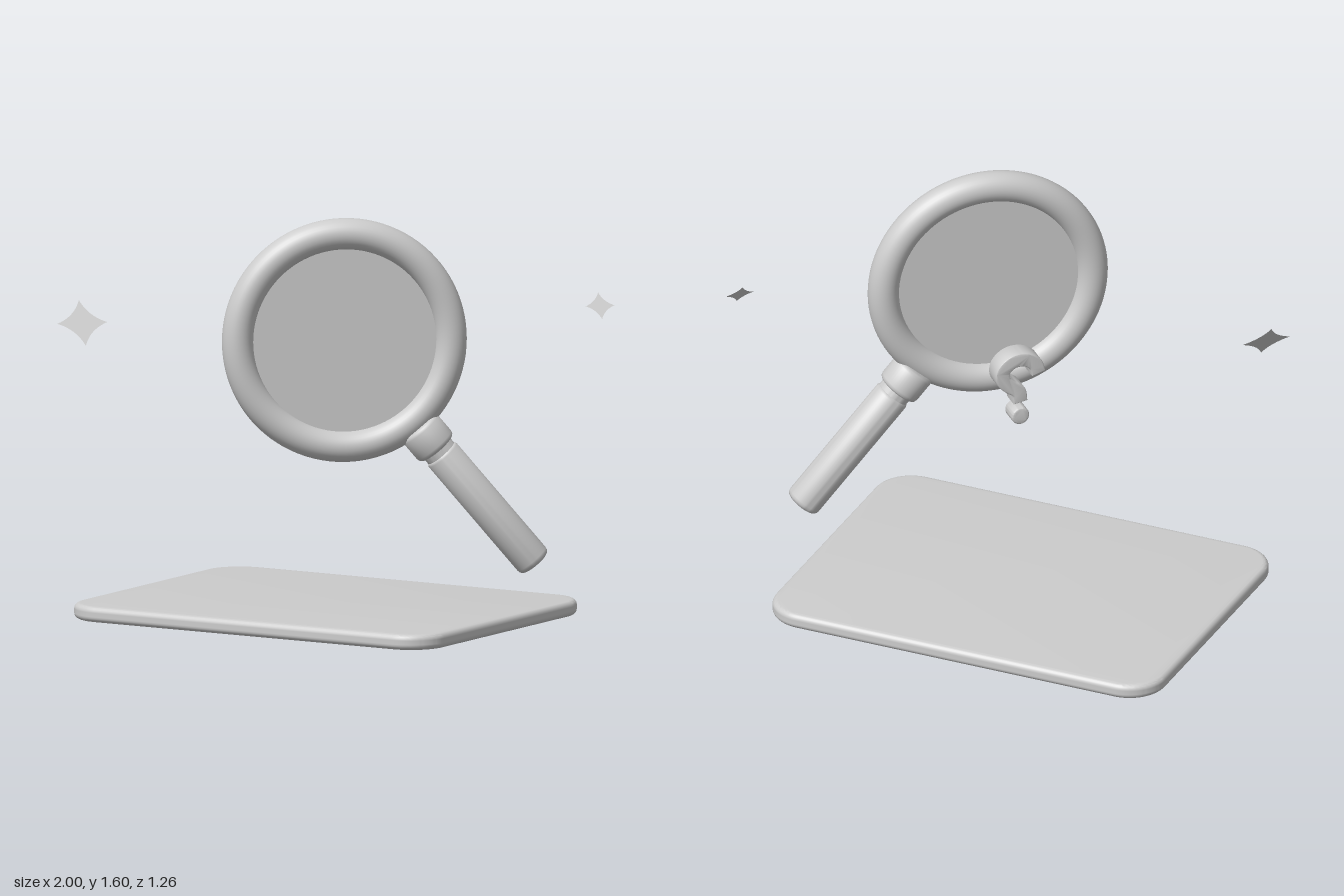
import * as THREE from 'three';
import { toCreasedNormals } from 'three/addons/utils/BufferGeometryUtils.js';

const grey = new THREE.MeshStandardMaterial({ color: 0xcccccc });
grey.name = 'grey';
const thinGrey = new THREE.MeshStandardMaterial({ color: 0xcccccc, side: THREE.DoubleSide });
thinGrey.name = 'greyThin';

function part(name, geometry, material = grey) {
  const mesh = new THREE.Mesh(geometry, material);
  mesh.name = name;
  return mesh;
}

// Extrusion centred on z, with a rounded edge inside the given outline
function slab(shape, depth, bevel, curveSegments = 12) {
  const g = new THREE.ExtrudeGeometry(shape, {
    depth: depth - 2 * bevel, bevelThickness: bevel, bevelSize: bevel,
    bevelOffset: -bevel, bevelSegments: 5, curveSegments,
  });
  g.translate(0, 0, bevel - depth / 2);
  return toCreasedNormals(g, 0.6);
}

function roundedRect(w, h, r) {
  const s = new THREE.Shape();
  const x = w / 2 - r, y = h / 2 - r;
  s.absarc(x, y, r, 0, Math.PI / 2);
  s.absarc(-x, y, r, Math.PI / 2, Math.PI);
  s.absarc(-x, -y, r, Math.PI, Math.PI * 1.5);
  s.absarc(x, -y, r, Math.PI * 1.5, Math.PI * 2);
  s.closePath();
  return s;
}

// Flat band of even width along a curve
function bandShape(points, halfWidth, steps = 48) {
  const curve = new THREE.CatmullRomCurve3(points.map(([x, y]) => new THREE.Vector3(x, y, 0)));
  const left = [], right = [];
  for (let i = 0; i <= steps; i++) {
    const p = curve.getPointAt(i / steps), t = curve.getTangentAt(i / steps);
    left.push(new THREE.Vector2(p.x - t.y * halfWidth, p.y + t.x * halfWidth));
    right.push(new THREE.Vector2(p.x + t.y * halfWidth, p.y - t.x * halfWidth));
  }
  return new THREE.Shape([...left, ...right.reverse()]);
}

// Four-pointed star with hollow sides
function sparkleShape(r) {
  const s = new THREE.Shape(), c = r * 0.28;
  s.moveTo(r, 0);
  s.quadraticCurveTo(c, c, 0, r);
  s.quadraticCurveTo(-c, c, -r, 0);
  s.quadraticCurveTo(-c, -c, 0, -r);
  s.quadraticCurveTo(c, -c, r, 0);
  return s;
}

function makeMagnifier() {
  const g = new THREE.Group();
  g.name = 'magnifier';
  g.add(part('rim', new THREE.TorusGeometry(0.41, 0.06, 32, 96)));

  const lens = part('lens', new THREE.CylinderGeometry(0.38, 0.38, 0.026, 64));
  lens.rotation.x = Math.PI / 2;
  g.add(lens);

  // Collar and grip, turned about the line out from the rim's centre
  const lathe = (pts) => toCreasedNormals(
    new THREE.LatheGeometry(pts.map(([r, y]) => new THREE.Vector2(r, y)), 48), 0.7);
  const arm = new THREE.Group();
  arm.name = 'handle';
  arm.add(part('collar', lathe([
    [0, 0.44], [0.07, 0.44], [0.08, 0.445], [0.085, 0.455], [0.085, 0.535],
    [0.082, 0.546], [0.075, 0.552], [0.064, 0.555], [0.064, 0.61], [0, 0.61],
  ])));
  arm.add(part('grip', lathe([
    [0, 0.575], [0.058, 0.575], [0.066, 0.579], [0.07, 0.588], [0.07, 1.118],
    [0.068, 1.128], [0.062, 1.136], [0.053, 1.14], [0, 1.14],
  ])));
  arm.rotation.z = THREE.MathUtils.degToRad(-140);
  g.add(arm);

  g.position.set(0.217, 1.13, 0.315);
  g.rotation.y = THREE.MathUtils.degToRad(38.1);
  return g;
}

// Curled hook with a round stud below it
function makeHook() {
  const g = new THREE.Group();
  g.name = 'hookOrnament';
  const path = [
    [-0.074, 0.902], [-0.06, 0.945], [-0.02, 0.97], [0.03, 0.968], [0.068, 0.935],
    [0.07, 0.895], [0.04, 0.862], [0.008, 0.838], [0, 0.79],
  ];
  g.add(part('hook', slab(bandShape(path, 0.028), 0.083, 0.006)));
  const dot = new THREE.Shape();
  dot.absarc(0, 0.73, 0.036, 0, Math.PI * 2);
  g.add(part('stud', slab(dot, 0.083, 0.01, 24)));
  g.position.set(-0.012, 0, 0.08);
  g.rotation.y = Math.PI / 4;
  return g;
}

export function createModel() {
  const model = new THREE.Group();
  model.name = 'magnifierScene';

  // Base plate
  const base = part('basePlate', slab(roundedRect(1.63, 1.225, 0.15), 0.06, 0.022));
  base.rotation.x = -Math.PI / 2;
  base.position.set(-0.07, 0.03, -0.0175);
  model.add(base);

  model.add(makeMagnifier(), makeHook());

  // Sparkles, tilted up and towards the front left corner
  for (const [name, r, x, y, z] of [
    ['largeSparkle', 0.098, -0.932, 1.11, 0.35],
    ['smallSparkle', 0.057, 0.957, 1.235, -0.345],
  ]) {
    const s = part(name, new THREE.ShapeGeometry(sparkleShape(r), 10), thinGrey);
    s.position.set(x, y, z);
    s.rotation.set(-0.615, Math.PI / 4, 0, 'YXZ');
    model.add(s);
  }
  return model;
}
